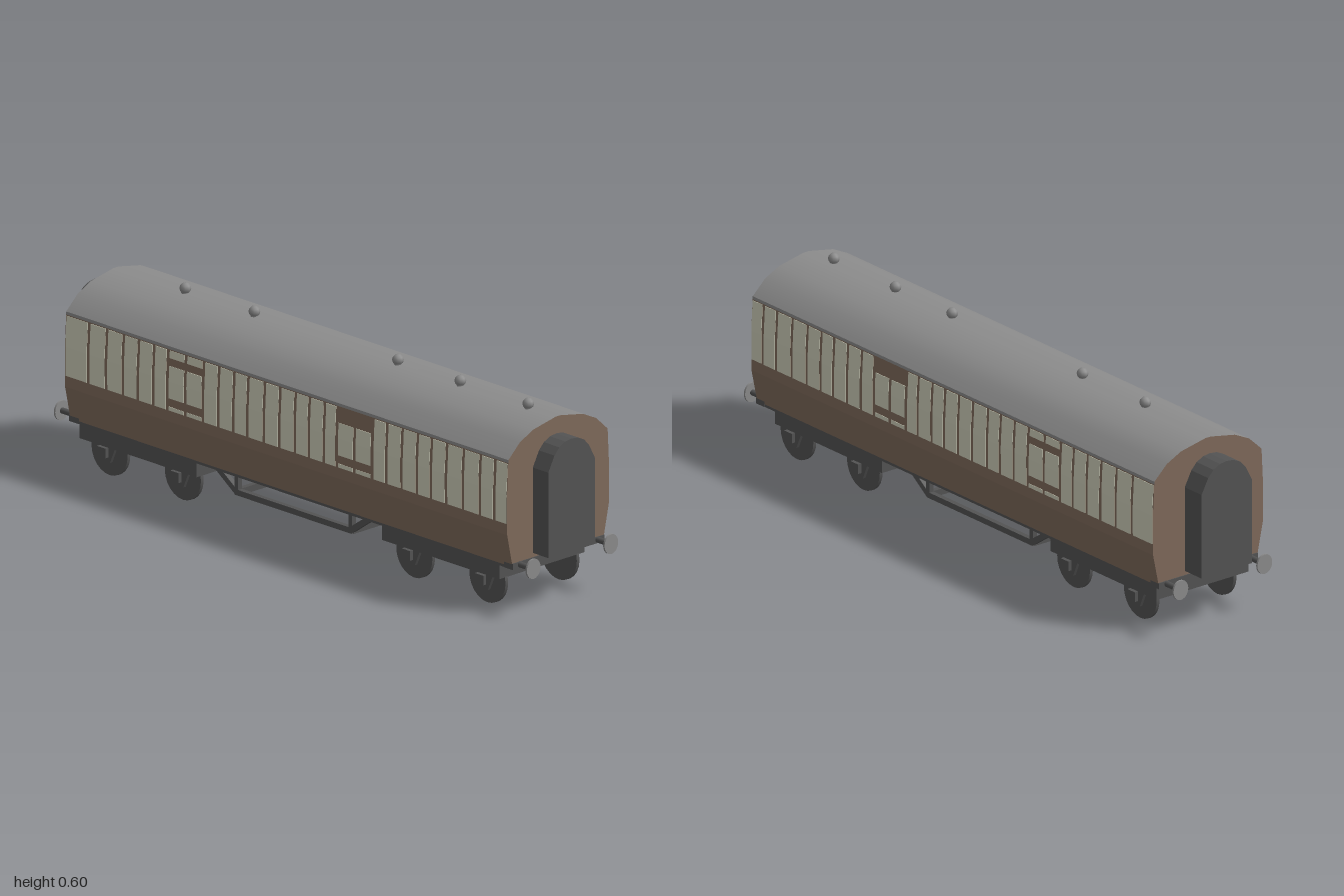
import * as THREE from 'three';
import { toCreasedNormals } from 'three/addons/utils/BufferGeometryUtils.js';

const material = (name, color) => new THREE.MeshStandardMaterial({ name, color });

export function createModel() {
  const brown = material('brown paint', 0x7f6a5b);
  const cream = material('cream panels', 0xcdcdb9);
  const roofGrey = material('roof grey', 0x8b8b8b);
  const dark = material('dark grey metal', 0x535353);

  const model = new THREE.Group();
  model.name = 'railwayCarriage';
  const zBack = -0.922, zFront = 0.935;

  const add = (name, geo, mat, x = 0, y = 0, z = 0) => {
    const mesh = new THREE.Mesh(geo, mat);
    mesh.name = name;
    mesh.position.set(x, y, z);
    model.add(mesh);
    return mesh;
  };
  // Box given by its limits on each axis
  const box = (name, mat, x0, x1, y0, y1, z0, z1) =>
    add(name, new THREE.BoxGeometry(x1 - x0, y1 - y0, z1 - z0), mat,
      (x0 + x1) / 2, (y0 + y1) / 2, (z0 + z1) / 2);
  // Cross-section in x and y, drawn out from z0 to z1
  const extrude = (points, z0, z1) => {
    const shape = new THREE.Shape(points.map(([x, y]) => new THREE.Vector2(x, y)));
    const geo = new THREE.ExtrudeGeometry(shape, { depth: z1 - z0, bevelEnabled: false });
    return geo.translate(0, 0, z0);
  };
  // Right half of a section, from bottom to top, completed by its mirror image
  const mirrored = (half) =>
    [...half, ...half.filter(([x]) => x > 0).reverse().map(([x, y]) => [-x, y])];

  // Body sides and ends
  add('body', extrude(mirrored([[0.186, 0.151], [0.208, 0.255], [0.2085, 0.38], [0.2035, 0.478]]),
    zBack, zFront), brown);

  // Roof with brown ends
  const roof = extrude(mirrored([[0.2035, 0.478], [0.203, 0.487], [0.156, 0.531],
    [0.102, 0.557], [0.01, 0.575]]), zBack, zFront);
  add('roof', toCreasedNormals(roof, 0.5), [brown, roofGrey]);

  // Cream side panels, following the slight lean of the upper side
  const sideX = (y) => (y < 0.38 ? 0.2082 : 0.2085 - (y - 0.38) * 0.051);
  const panel = (zA, zB, y0, y1) => {
    const ys = y0 < 0.38 && y1 > 0.38 ? [y0, 0.38, y1] : [y0, y1];
    for (const side of [-1, 1]) {
      const outer = ys.map((y) => [side * (sideX(y) + 0.0015), y]);
      const inner = ys.map((y) => [side * (sideX(y) - 0.002), y]).reverse();
      add('sidePanel', extrude([...outer, ...inner], Math.min(zA, zB), Math.max(zA, zB)), cream);
    }
  };
  const low = 0.29, high = 0.475, bar = 0.006;
  const panelRun = (edges) => {
    for (let i = 0; i < edges.length - 1; i++) panel(edges[i] - bar, edges[i + 1] + bar, low, high);
  };
  panelRun([0.939, 0.882, 0.82, 0.749, 0.679, 0.615, 0.556, 0.492, 0.428, 0.369]);
  panelRun([0.219, 0.166, 0.102, 0.043, -0.021, -0.086, -0.155, -0.214, -0.278, -0.342]);
  panelRun([-0.492, -0.551, -0.615, -0.679, -0.749, -0.824, -0.925]);

  // Double doors: the front pair has a solid brown top
  for (const [centre, hasTop] of [[0.294, false], [-0.417, true]]) {
    for (const s of [-1, 1]) {
      const a = centre + s * 0.006, b = centre + s * 0.068;
      panel(a, b, low, 0.302);
      panel(a, b, 0.328, 0.428);
      if (hasTop) panel(a, b, 0.452, high);
    }
  }

  // Corridor connections at both ends
  const corridor = [[-0.103, 0.175], [0.088, 0.175], [0.088, 0.44], [0.063, 0.487], [0.043, 0.508],
    [0.018, 0.52], [-0.007, 0.523], [-0.033, 0.52], [-0.058, 0.508], [-0.078, 0.487], [-0.103, 0.44]];
  add('frontCorridor', extrude(corridor, zFront - 0.005, 1), dark);
  add('backCorridor', extrude(corridor, -1, zBack + 0.005), dark);

  // Roof ventilators
  for (const z of [0.82, 0.535, 0.273, -0.33, -0.62]) {
    add('ventNeck', new THREE.CylinderGeometry(0.012, 0.012, 0.025, 8), roofGrey, -0.01, 0.575, z);
    add('ventCap', new THREE.SphereGeometry(0.0175, 8, 6), roofGrey, -0.01, 0.588, z);
  }

  // Underframe
  box('floor', dark, -0.186, 0.186, 0.143, 0.153, zBack, zFront);
  box('frontHeadstock', dark, -0.188, 0.188, 0.143, 0.162, 0.9, zFront + 0.003);
  box('backHeadstock', dark, -0.188, 0.188, 0.143, 0.162, zBack - 0.003, -0.885);

  // Buffers
  for (const end of [-1, 1]) {
    const root = end > 0 ? zFront : zBack;
    const tip = end > 0 ? 0.993 : -0.988;
    for (const x of [-0.159, 0.159]) {
      const rod = new THREE.CylinderGeometry(0.009, 0.009, Math.abs(tip - root) + 0.02, 10);
      add('bufferRod', rod.rotateX(Math.PI / 2), dark, x, 0.154, (root + tip) / 2 - end * 0.01);
      const disc = new THREE.CylinderGeometry(0.028, 0.028, 0.006, 20);
      add('bufferDisc', disc.rotateX(Math.PI / 2), roofGrey, x, 0.154, tip).scale.y = 1.1;
    }
  }

  // Bogies with wheels and axle boxes
  for (const [z0, z1, wheels] of [[0.377, 0.87, [0.797, 0.49]], [-0.893, -0.402, [-0.482, -0.79]]]) {
    box('bogieFrame', dark, -0.177, 0.171, 0.095, 0.145, z0, z1);
    for (const z of wheels) {
      for (const side of [-1, 1]) {
        const wheel = new THREE.CylinderGeometry(0.076, 0.076, 0.011, 24).rotateZ(Math.PI / 2);
        add('wheel', wheel, dark, -0.003 + side * 0.146, 0.0765, z);
        // Tapered axle guard, drawn in z and y and turned to face sideways
        const guard = extrude([[-0.025, 0.05], [0.025, 0.05], [0.045, 0.096], [-0.045, 0.096]], -0.005, 0.005);
        add('axleGuard', guard.rotateY(Math.PI / 2), dark, -0.003 + side * 0.169, 0, z);
        add('axleBox', new THREE.BoxGeometry(0.012, 0.03, 0.036), dark, -0.003 + side * 0.18, 0.08, z);
      }
    }
  }

  // Truss frame under the middle
  const strut = (x, zA, yA, zB, yB) => {
    const geo = new THREE.BoxGeometry(0.016, 0.018, Math.hypot(zB - zA, yB - yA));
    add('trussStrut', geo, dark, x, (yA + yB) / 2, (zA + zB) / 2)
      .rotation.x = -Math.atan2(yB - yA, zB - zA);
  };
  for (const x of [-0.132, 0.13]) {
    strut(x, -0.28, 0.072, 0.212, 0.072);
    strut(x, 0.205, 0.072, 0.31, 0.146);
    strut(x, -0.38, 0.146, -0.273, 0.072);
    for (const z of [0.206, -0.273]) box('trussPost', dark, x - 0.008, x + 0.008, 0.07, 0.146, z - 0.008, z + 0.008);
  }
  for (const z of [0.206, -0.273]) box('trussCrossbar', dark, -0.132, 0.13, 0.062, 0.082, z - 0.008, z + 0.008);

  return model;
}
